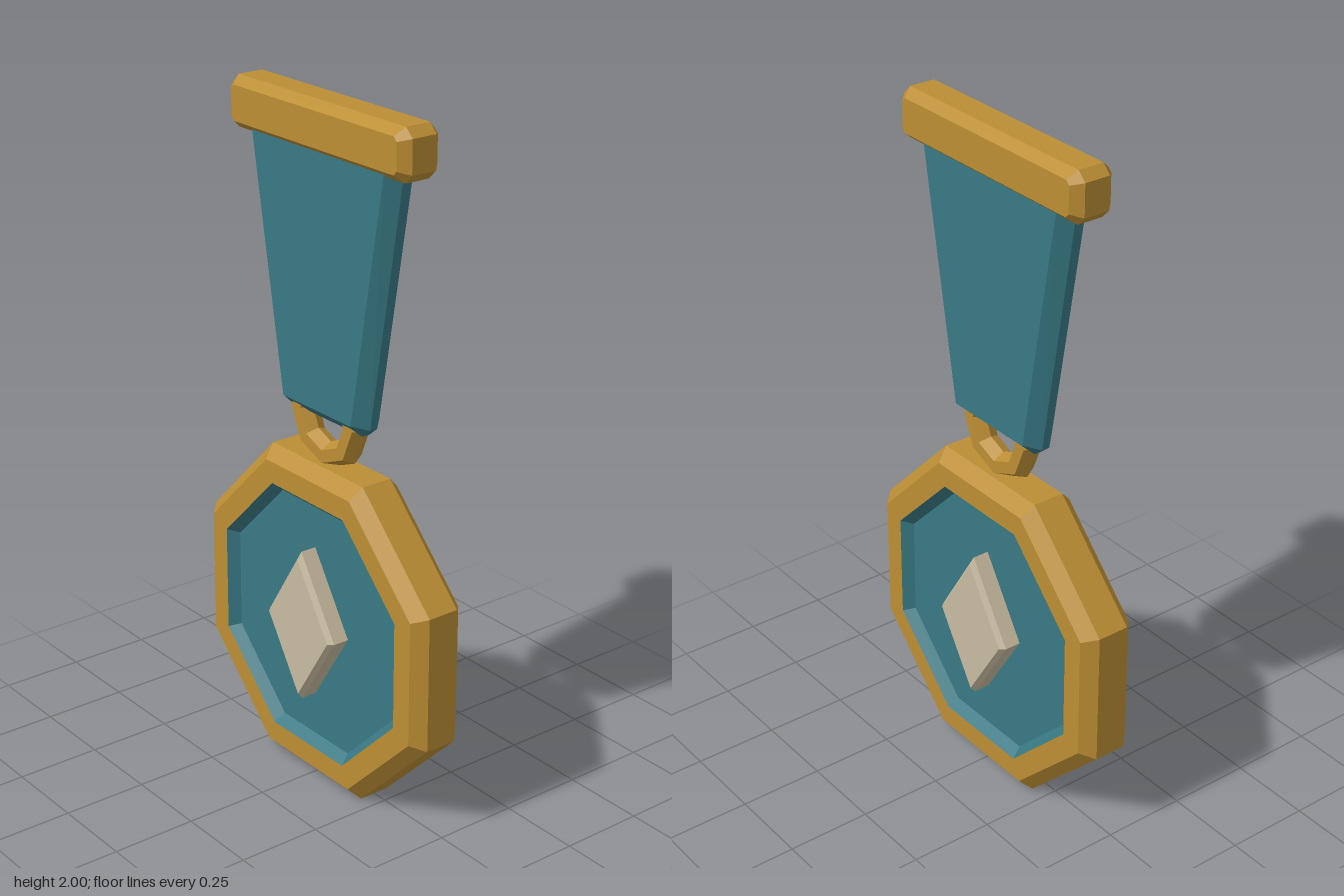
import * as THREE from 'three';

const material = (name, color) => Object.assign(new THREE.MeshStandardMaterial({ color }), { name });

// Hard-edged faces
function flat(geometry) {
  const g = geometry.index ? geometry.toNonIndexed() : geometry;
  g.computeVertexNormals();
  return g;
}

// Bevelled slab: outer outline at +-zSide, inset outline at +-zFace (both anticlockwise)
function bevelledSlab(outer, inner, zSide, zFace) {
  const n = outer.length;
  const rings = [[inner, -zFace], [outer, -zSide], [outer, zSide], [inner, zFace]];
  const position = rings.flatMap(([pts, z]) => pts.flatMap(([x, y]) => [x, y, z]));
  const index = [];
  for (let r = 0; r < 3; r++) {
    for (let i = 0; i < n; i++) {
      const a = r * n + i, b = r * n + (i + 1) % n;
      index.push(a, b, b + n, a, b + n, a + n);
    }
  }
  for (let i = 1; i < n - 1; i++) {
    index.push(0, i + 1, i, 3 * n, 3 * n + i, 3 * n + i + 1);
  }
  const g = new THREE.BufferGeometry();
  g.setAttribute('position', new THREE.Float32BufferAttribute(position, 3));
  g.setIndex(index);
  return flat(g);
}

// Rectangle outline with cut corners
function cutRectangle(w, h, c) {
  return [
    [w - c, -h], [w, -h + c], [w, h - c], [w - c, h],
    [-w + c, h], [-w, h - c], [-w, -h + c], [-w + c, -h],
  ];
}

// Octagonal solid facing z, from [apothem, z] profile points
function octagon(profile) {
  const k = 1 / Math.cos(Math.PI / 8);
  const pts = profile.map(([r, z]) => new THREE.Vector2(r * k, z));
  return flat(new THREE.LatheGeometry(pts, 8, Math.PI / 8).rotateX(Math.PI / 2));
}

// Outline mirrored across x from its right half, listed bottom to top
const mirrored = (half) => [...half, ...half.map(([x, y]) => [-x, y]).reverse()];

export function createModel() {
  const gold = material('gold', 0xbc8e34);
  const teal = material('teal enamel', 0x397984);
  const ivory = material('ivory', 0xc8bb9f);
  const model = new THREE.Group();
  model.name = 'medal';

  const add = (name, geometry, mat, y = 0) => {
    const mesh = new THREE.Mesh(geometry, mat);
    mesh.name = name;
    mesh.position.y = y;
    model.add(mesh);
  };

  // Top bar
  add('topBar', bevelledSlab(cutRectangle(0.378, 0.073, 0.026), cutRectangle(0.35, 0.05, 0.012), 0.039, 0.067), gold, 1.927);

  // Tapered ribbon, its top end inside the bar
  add('ribbon', bevelledSlab(
    mirrored([[0.155, 1.098], [0.187, 1.125], [0.32, 1.9]]),
    mirrored([[0.147, 1.134], [0.15, 1.136], [0.286, 1.9]]),
    0.012, 0.05), teal);

  // Hanging ring
  add('hangingRing', flat(new THREE.TorusGeometry(0.115, 0.038, 6, 8)), gold, 1.108);

  // Octagonal rim
  const discY = 0.487;
  add('rim', octagon([
    [0.385, -0.085], [0.45, -0.085], [0.487, -0.048],
    [0.487, 0.048], [0.45, 0.085], [0.385, 0.085],
  ]), gold, discY);

  // Recessed enamel on both faces
  add('enamel', octagon([
    [0, -0.055], [0.36, -0.055], [0.385, -0.085],
    [0.385, 0.085], [0.36, 0.055], [0, 0.055],
  ]), teal, discY);

  // Diamond passing through the disc
  const diamond = (w, h) => [[0, -h], [w, 0], [0, h], [-w, 0]];
  add('diamond', bevelledSlab(diamond(0.148, 0.232), diamond(0.135, 0.213), 0.104, 0.119), ivory, 0.491);

  return model;
}
